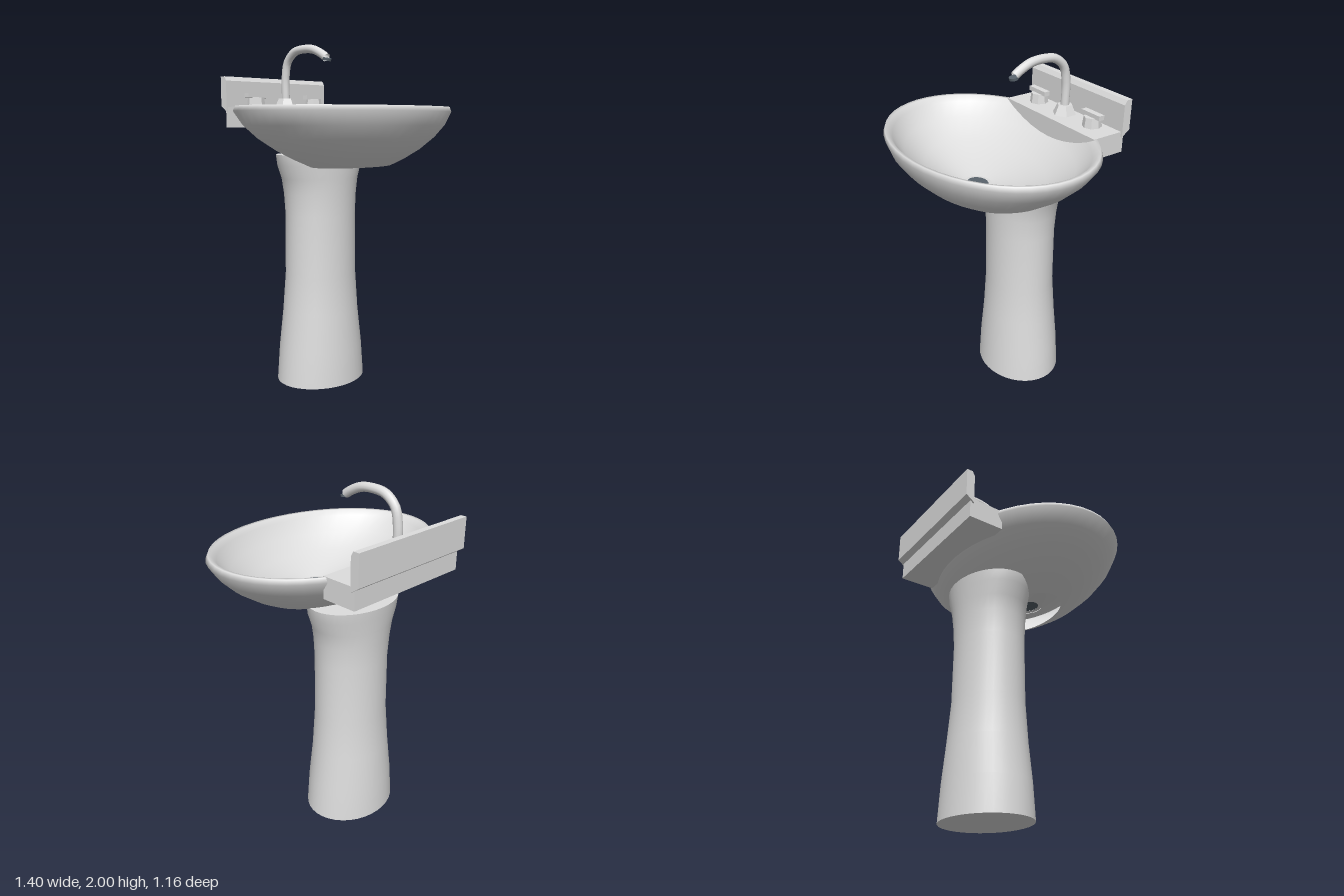
import * as THREE from 'three';

const ceramic = new THREE.MeshStandardMaterial({ color: 0xdddddd, side: THREE.DoubleSide });
ceramic.name = 'ceramic';
const drainMetal = new THREE.MeshStandardMaterial({ color: 0x59636c, side: THREE.DoubleSide });
drainMetal.name = 'drain metal';

// Smooth skin over elliptical rings [y, radiusX, radiusZ, centreZ]
function loft(rings, n) {
  const pos = [], idx = [];
  rings.forEach(([y, a, b, zc], i) => {
    for (let j = 0; j < n; j++) {
      const t = (j / n) * Math.PI * 2;
      pos.push(a * Math.cos(t), y, zc + b * Math.sin(t));
      if (i === rings.length - 1) continue;
      const k = (j + 1) % n, p = i * n, q = p + n;
      idx.push(p + j, q + j, p + k, p + k, q + j, q + k);
    }
  });
  const g = new THREE.BufferGeometry();
  g.setAttribute('position', new THREE.Float32BufferAttribute(pos, 3));
  g.setIndex(idx);
  g.computeVertexNormals();
  return g;
}

// Side profile of [z, y] points stretched across x
function slab(profile, width) {
  const shape = new THREE.Shape(profile.map(([z, y]) => new THREE.Vector2(-z, y)));
  const g = new THREE.ExtrudeGeometry(shape, { depth: width, bevelEnabled: false });
  return g.translate(0, 0, -width / 2).rotateY(Math.PI / 2);
}

// Faceted tapered block for tap and faucet bases
function facetedBase(top, bottom, height, sides) {
  const g = new THREE.CylinderGeometry(top, bottom, height, sides).toNonIndexed();
  g.computeVertexNormals();
  return g;
}

export function createModel() {
  const model = new THREE.Group();
  model.name = 'pedestalSink';
  const add = (name, geometry, material, x = 0, y = 0, z = 0, parent = model) => {
    const m = new THREE.Mesh(geometry, material);
    m.name = name;
    m.position.set(x, y, z);
    parent.add(m);
    return m;
  };

  // Basin: outer wall, rolled rim, inner bowl
  add('basin', loft([
    [1.30, 0.28, 0.17, 0.10],
    [1.34, 0.37, 0.255, 0.093],
    [1.39, 0.465, 0.34, 0.085],
    [1.46, 0.57, 0.425, 0.075],
    [1.53, 0.645, 0.487, 0.066],
    [1.605, 0.70, 0.518, 0.06],
    [1.632, 0.685, 0.512, 0.06],
    [1.63, 0.665, 0.495, 0.06],
    [1.60, 0.64, 0.472, 0.062],
    [1.52, 0.56, 0.408, 0.072],
    [1.44, 0.41, 0.285, 0.095],
    [1.39, 0.25, 0.17, 0.117],
    [1.365, 0.14, 0.10, 0.13],
    [1.355, 0.085, 0.072, 0.135],
  ], 48), ceramic);

  // Drain
  const flange = add('drainFlange', new THREE.RingGeometry(0.06, 0.088, 32).rotateX(-Math.PI / 2),
    ceramic, 0, 1.36, 0.135);
  flange.scale.z = 0.85;
  const drain = add('drain', new THREE.CircleGeometry(0.066, 32).rotateX(-Math.PI / 2),
    drainMetal, 0, 1.363, 0.135);
  drain.scale.z = 0.82;

  // Pedestal, its flared top tucked under the basin
  add('pedestal', loft([
    [0, 0.283, 0.24, -0.16],
    [0.2, 0.267, 0.23, -0.16],
    [0.42, 0.24, 0.212, -0.16],
    [0.65, 0.225, 0.195, -0.158],
    [1.0, 0.221, 0.193, -0.158],
    [1.13, 0.23, 0.198, -0.16],
    [1.22, 0.246, 0.204, -0.162],
    [1.30, 0.278, 0.211, -0.164],
    [1.36, 0.285, 0.214, -0.167],
  ], 36), ceramic);
  const foot = add('pedestalBase', new THREE.CircleGeometry(1, 36).rotateX(Math.PI / 2),
    ceramic, 0, 0, -0.16);
  foot.scale.set(0.283, 1, 0.24);
  const cap = add('pedestalTop', new THREE.CircleGeometry(1, 36).rotateX(-Math.PI / 2),
    ceramic, 0, 1.36, -0.167);
  cap.scale.set(0.285, 1, 0.214);

  // Faucet shelf and backsplash
  add('shelf', slab([[-0.34, 1.515], [-0.34, 1.634], [-0.548, 1.634], [-0.548, 1.515]], 0.78), ceramic);
  add('backsplash', slab([[-0.53, 1.605], [-0.53, 1.785], [-0.545, 1.81], [-0.58, 1.81], [-0.58, 1.64]], 0.80), ceramic);

  // Faucet
  const faucet = new THREE.Group();
  faucet.name = 'faucet';
  model.add(faucet);
  add('faucetBase', facetedBase(0.045, 0.07, 0.055, 6), ceramic, 0, 1.66, -0.46, faucet);
  const path = new THREE.CatmullRomCurve3([
    [-0.46, 1.67], [-0.46, 1.82], [-0.438, 1.91], [-0.375, 1.963],
    [-0.29, 1.975], [-0.21, 1.967], [-0.14, 1.937], [-0.105, 1.915],
  ].map(([z, y]) => new THREE.Vector3(0, y, z)));
  add('spout', new THREE.TubeGeometry(path, 28, 0.025, 12), ceramic, 0, 0, 0, faucet);
  add('spoutTip', new THREE.CylinderGeometry(0.026, 0.026, 0.014, 12), drainMetal,
    0, 1.905, -0.1, faucet).rotation.x = 0.25;

  // Tap handles
  for (const side of [-1, 1]) {
    const tap = new THREE.Group();
    tap.name = side > 0 ? 'leftTap' : 'rightTap';
    tap.position.set(side * 0.235, 0, -0.46);
    model.add(tap);
    add('tapBase', facetedBase(0.048, 0.055, 0.06, 8), ceramic, 0, 1.66, 0, tap);
    add('tapHandle', new THREE.BoxGeometry(0.145, 0.026, 0.036), ceramic, 0, 1.7, 0, tap);
  }
  return model;
}
